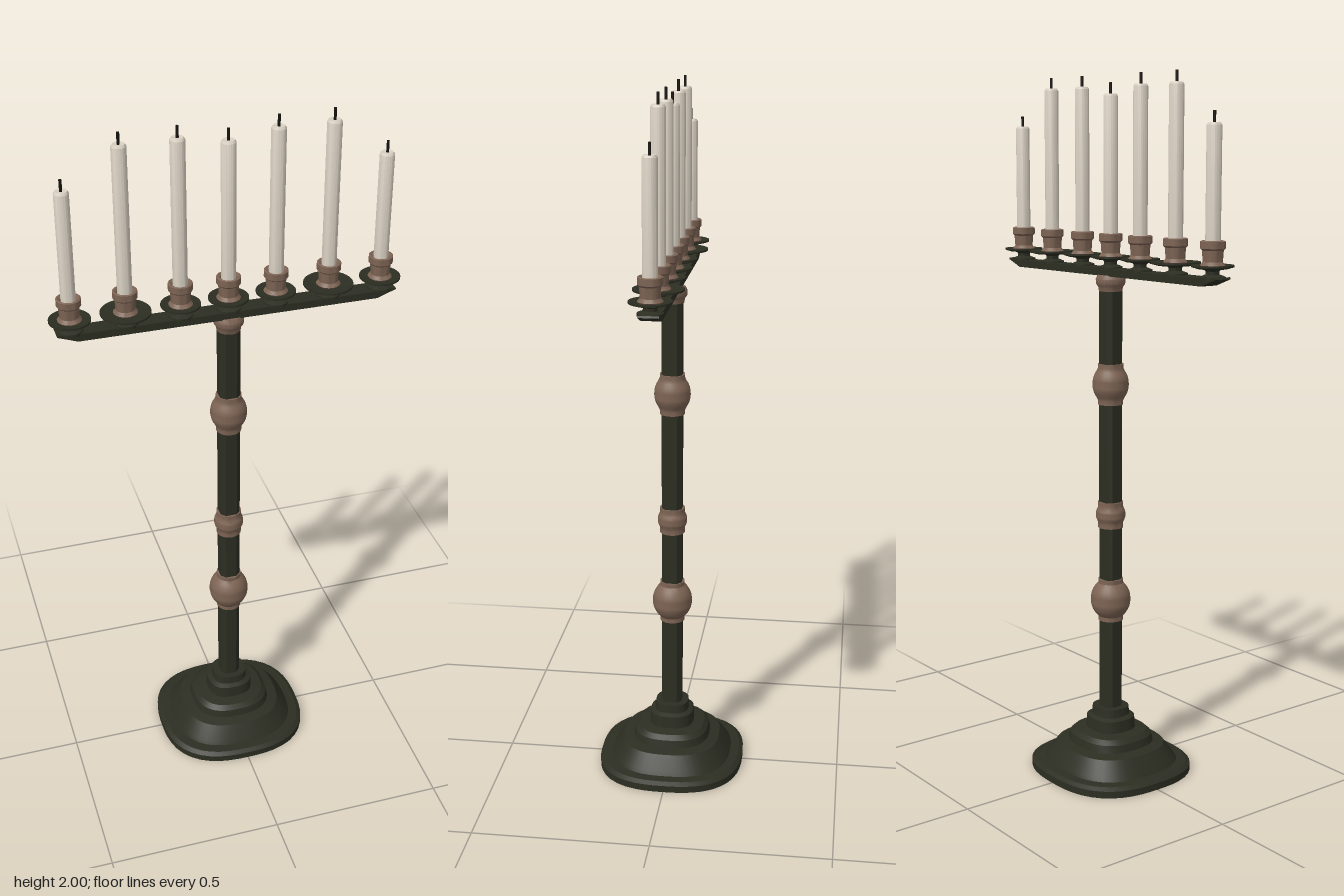
import * as THREE from 'three';
import { toCreasedNormals } from 'three/addons/utils/BufferGeometryUtils.js';

const mat = (name, color) => {
  const m = new THREE.MeshStandardMaterial({ color });
  m.name = name;
  return m;
};

export function createModel() {
  const iron = mat('dark iron', 0x2c2e22);
  const copper = mat('aged copper', 0x7d6454);
  const wax = mat('candle wax', 0xd9d0c2);
  const char = mat('charred wick', 0x15130f);
  const root = new THREE.Group();
  root.name = 'candelabrum';

  const add = (parent, name, geometry, material, x = 0, y = 0, z = 0) => {
    const mesh = new THREE.Mesh(geometry, material);
    mesh.name = name;
    mesh.position.set(x, y, z);
    parent.add(mesh);
    return mesh;
  };
  // Turned part from [radius, height] pairs, listed bottom to top
  const turned = (pts, sides = 24) => new THREE.LatheGeometry(pts.map(([r, y]) => new THREE.Vector2(r, y)), sides);
  const crease = (g, angle = 0.6) => toCreasedNormals(g, angle);

  // Stepped base, turned and then squared off into a rounded square
  const base = turned([
    [0, 0], [0.222, 0], [0.222, 0.02], [0.21, 0.028], [0.184, 0.03], [0.178, 0.04],
    [0.148, 0.08], [0.118, 0.086], [0.113, 0.108], [0.1, 0.12], [0.068, 0.125],
    [0.066, 0.16], [0.052, 0.166], [0.05, 0.19], [0, 0.19],
  ], 48);
  const p = base.attributes.position;
  for (let i = 0; i < p.count; i++) {
    const x = p.getX(i), z = p.getZ(i), r = Math.hypot(x, z);
    if (r < 1e-6) continue;
    const n = 2.6;
    const k = Math.pow(Math.pow(Math.abs(x / r), n) + Math.pow(Math.abs(z / r), n), -1 / n);
    p.setX(i, x * k);
    p.setZ(i, z * k * 0.96);
  }
  add(root, 'steppedBase', crease(base, 0.4), iron);

  // Square post with chamfered edges
  const h = 0.029, c = 0.016;
  const section = new THREE.Shape([
    [h, -c], [h, c], [c, h], [-c, h], [-h, c], [-h, -c], [-c, -h], [c, -h],
  ].map(([x, y]) => new THREE.Vector2(x, y)));
  const post = new THREE.ExtrudeGeometry(section, { depth: 1.25, bevelEnabled: false });
  post.rotateX(-Math.PI / 2);
  add(root, 'post', post, iron, 0, 0.18, 0);

  // Copper knops on the post: height, radius, half height
  const knops = [['lowerKnop', 0.515, 0.058, 0.062], ['smallKnop', 0.768, 0.043, 0.038], ['upperKnop', 1.147, 0.052, 0.058]];
  for (const [name, y, r, half] of knops) {
    const neck = 0.036;
    const pts = [[0.026, -half], [neck, -half], [neck, -half * 0.82]];
    for (let i = 0; i <= 10; i++) {
      const t = -1 + i / 5;
      pts.push([Math.max(neck, r * Math.sqrt(1 - 0.62 * t * t)), t * half * 0.8]);
    }
    pts.push([neck, half * 0.82], [neck, half], [0.026, half]);
    add(root, name, crease(turned(pts)), copper, 0, y, 0);
  }

  // Collar between post and crossbar
  add(root, 'topCollar', crease(turned([
    [0.026, 1.408], [0.033, 1.41], [0.035, 1.422], [0.041, 1.43], [0.042, 1.444], [0.036, 1.455], [0, 1.455],
  ])), copper);

  // Crossbar with raised, pointed ends
  const bar = new THREE.Shape([
    [-0.415, 1.453], [0.415, 1.453], [0.47, 1.473], [0.467, 1.478], [0.43, 1.474],
    [-0.43, 1.474], [-0.467, 1.478], [-0.47, 1.473],
  ].map(([x, y]) => new THREE.Vector2(x, y)));
  const barGeo = new THREE.ExtrudeGeometry(bar, { depth: 0.054, bevelEnabled: false });
  barGeo.translate(0, 0, -0.027);
  add(root, 'crossbar', barGeo, iron);

  // Candle holders: x, drip pan radius, candle top
  const holders = [[0, 0.055, 1.948]];
  for (const s of [-1, 1]) holders.push([s * 0.132, 0.054, 1.97], [s * 0.281, 0.068, 1.97], [s * 0.43, 0.056, 1.865]);
  for (const [x, r, top] of holders) {
    const holder = new THREE.Group();
    holder.name = 'candleHolder';
    holder.position.x = x;
    root.add(holder);
    add(holder, 'foot', crease(turned([
      [0.034, 1.47], [0.034, 1.478], [0.018, 1.484], [0.018, 1.492], [0.026, 1.5],
    ])), iron);
    add(holder, 'dripPan', crease(turned([
      [0, 1.497], [r * 0.7, 1.498], [r, 1.503], [r, 1.508], [r * 0.7, 1.504], [0, 1.504],
    ], 32)), iron);
    add(holder, 'cup', crease(turned([
      [0.03, 1.503], [0.033, 1.507], [0.026, 1.516], [0.028, 1.545], [0.033, 1.55],
      [0.033, 1.568], [0.029, 1.57], [0.022, 1.566], [0.018, 1.555],
    ])), copper);
    add(holder, 'candle', crease(turned([
      [0.02, 1.54], [0.02, top - 0.006], [0.016, top], [0, top - 0.002],
    ], 20)), wax);
    add(holder, 'wick', new THREE.CylinderGeometry(0.004, 0.004, 0.034, 8), char, 0, top + 0.013, 0);
  }
  return root;
}
